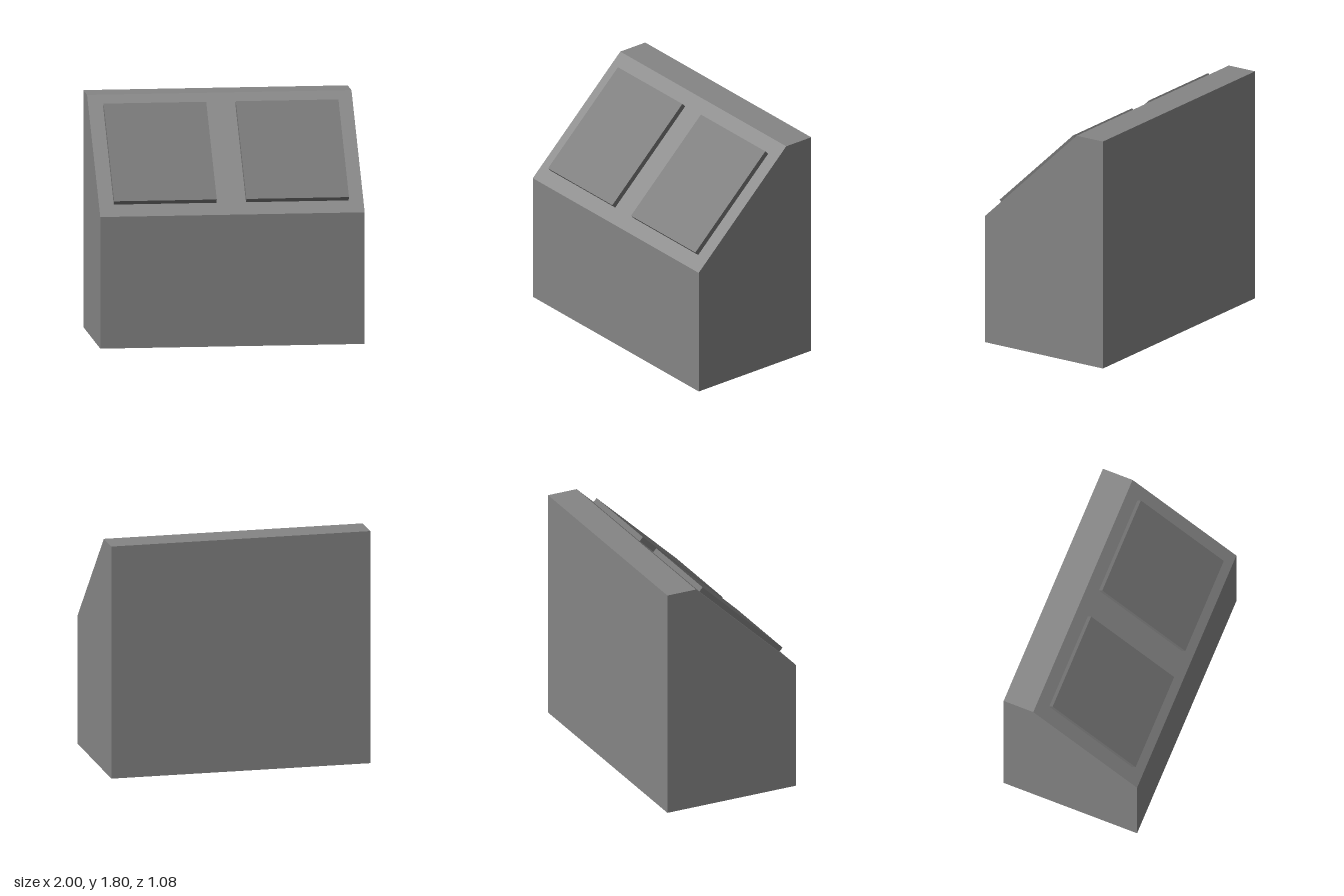
import * as THREE from 'three';

const bodyMaterial = new THREE.MeshStandardMaterial({ color: 0x858585, flatShading: true, side: THREE.DoubleSide });
const lidMaterial = new THREE.MeshStandardMaterial({ color: 0x747474, flatShading: true });

// Side profile as (z, y), from front foot over the slope to back foot; open underneath
const profile = [[0.54, 0], [0.54, 1], [-0.3, 1.8], [-0.54, 1.8], [-0.54, 0]];
const HALF_WIDTH = 1;

function addMesh(parent, name, geometry, material) {
  const mesh = new THREE.Mesh(geometry, material);
  mesh.name = name;
  parent.add(mesh);
  return mesh;
}

// Flat wall spanning the full width between two profile points
function wallGeometry([z0, y0], [z1, y1]) {
  const w = HALF_WIDTH;
  const geometry = new THREE.BufferGeometry();
  geometry.setAttribute('position', new THREE.Float32BufferAttribute(
    [-w, y0, z0, w, y0, z0, w, y1, z1, -w, y1, z1], 3));
  geometry.setIndex([0, 1, 2, 0, 2, 3]);
  geometry.computeVertexNormals();
  return geometry;
}

// End wall cut to the profile; side is +1 (left) or -1 (right)
function endGeometry(side) {
  const shape = new THREE.Shape(profile.map(([z, y]) => new THREE.Vector2(-side * z, y)));
  return new THREE.ShapeGeometry(shape).rotateY(side * Math.PI / 2).translate(side * HALF_WIDTH, 0, 0);
}

export function createModel() {
  const model = new THREE.Group();
  model.name = 'slopedCabinet';

  // Hollow body without a floor
  const body = new THREE.Group();
  body.name = 'body';
  model.add(body);
  ['frontWall', 'slopedTop', 'flatTop', 'backWall'].forEach((name, i) =>
    addMesh(body, name, wallGeometry(profile[i], profile[i + 1]), bodyMaterial));
  addMesh(body, 'leftWall', endGeometry(1), bodyMaterial);
  addMesh(body, 'rightWall', endGeometry(-1), bodyMaterial);

  // Two thin, darker lids lying on the slope, sunk a hair into it
  const tilt = Math.atan2(0.8, 0.84);
  const thickness = 0.042, sink = 0.002;
  for (const side of [1, -1]) {
    const geometry = new THREE.BoxGeometry(0.776, thickness, 0.928).translate(0, thickness / 2 - sink, 0);
    const lid = addMesh(model, side > 0 ? 'leftLid' : 'rightLid', geometry, lidMaterial);
    lid.position.set(side * 0.5, 1.4, 0.12);
    lid.rotation.x = tilt;
  }
  return model;
}
